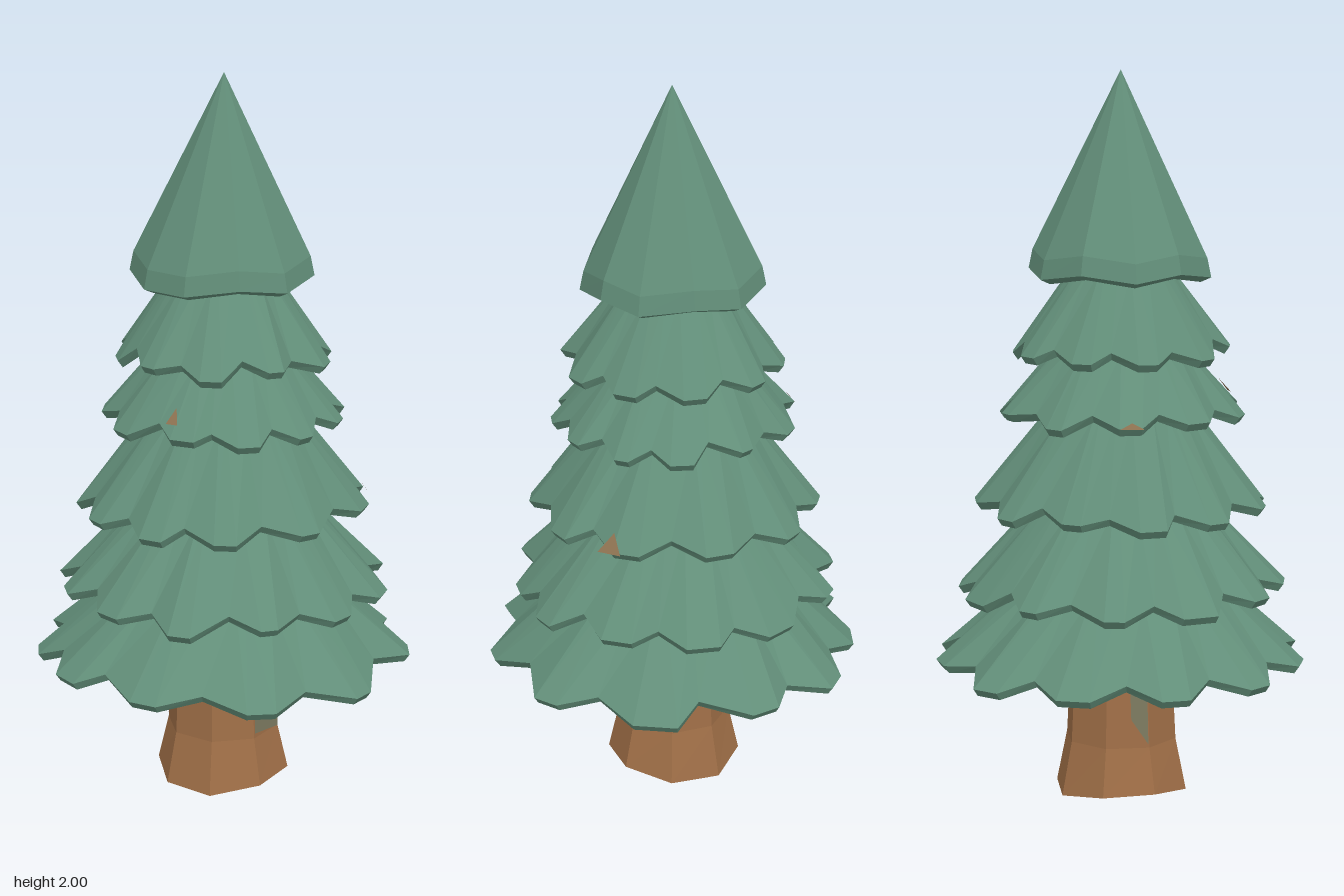
import * as THREE from 'three';

function makeMaterial(name, color) {
  const m = new THREE.MeshStandardMaterial({ color, flatShading: true, side: THREE.DoubleSide });
  m.name = name;
  return m;
}
const foliage = makeMaterial('foliageGreen', 0x628e79);
const bark = makeMaterial('barkBrown', 0xa06f47);
const moss = makeMaterial('mossGrey', 0x7c7a60);
const dryNeedles = makeMaterial('dryNeedleBrown', 0x8c7150);

const rad = THREE.MathUtils.degToRad;
const lerp = THREE.MathUtils.lerp;

// Repeatable noise in -1..1
let seed = 7;
const jitter = () => {
  seed = (seed * 16807) % 2147483647;
  return (seed / 2147483647) * 2 - 1;
};

const polar = (a, r, y) => new THREE.Vector3(Math.sin(a) * r, y, Math.cos(a) * r);

// Joins closed rings of equal point count into one faceted skin
function loft(rings) {
  const pts = [];
  const n = rings[0].length;
  for (let k = 0; k + 1 < rings.length; k++) {
    for (let i = 0; i < n; i++) {
      const j = (i + 1) % n;
      const [a, b, c, d] = [rings[k][i], rings[k][j], rings[k + 1][j], rings[k + 1][i]];
      pts.push(a, b, c, a, c, d);
    }
  }
  const geo = new THREE.BufferGeometry().setFromPoints(pts);
  geo.computeVertexNormals();
  return geo;
}

function add(group, name, geo, material) {
  const mesh = new THREE.Mesh(geo, material);
  mesh.name = name;
  group.add(mesh);
}

// Skirt of branches: hollow beneath, blunt double-pointed lobes along the rim.
// lobes holds the counts on the +x half and on the -x half.
function tierGeometry({ y, R, top, r, lobes: [near, far], turn }) {
  const inner = [], under = [], rim = [], crown = [];
  const angle = (u) => turn + Math.PI * (u < near ? u / near : 1 + (u - near) / far);
  for (let l = 0; l < near + far; l++) {
    const lobeR = R * (1 + 0.018 * jitter());
    const lobeY = y + 0.01 * jitter();
    for (let s = 0; s < 3; s++) {
      const valley = s === 0;
      const a = angle(l + [-0.5, -0.13, 0.17][s] + 0.07 * jitter());
      const rr = valley ? R * (0.885 + 0.015 * jitter()) : lobeR * (1 + 0.015 * jitter());
      const yy = lobeY + (valley ? 0.028 : 0);
      under.push(polar(a, rr - 0.014, yy - 0.012));
      rim.push(polar(a, rr, yy + 0.008));
      // Crown points gather into broad panels
      const ca = angle(l + [-0.5, -0.08, 0.08][s]);
      crown.push(polar(ca, r, top));
      inner.push(polar(ca, r * 0.5, top - 0.03));
    }
  }
  return loft([inner, under, rim, crown]);
}

const tiers = [
  { y: 0.385, R: 0.512, top: 0.61, r: 0.27, lobes: [5, 6], turn: 0 },
  { y: 0.585, R: 0.45, top: 0.84, r: 0.22, lobes: [6, 6], turn: 0.2 },
  { y: 0.815, R: 0.4, top: 1.09, r: 0.195, lobes: [5, 6], turn: 0.45 },
  { y: 1.07, R: 0.335, top: 1.26, r: 0.175, lobes: [6, 5], turn: 0.1 },
  { y: 1.24, R: 0.3, top: 1.47, r: 0.135, lobes: [5, 5], turn: 0.3 },
];

// Pointed top with uneven facets and a short hem
function capGeometry() {
  const rings = [[], [], [], [], []];
  [2, 36, 68, 102, 130, 164, 196, 230, 264, 294, 330].forEach((deg, i) => {
    const a = rad(deg);
    const dip = i % 2 ? 0.02 : 0;
    rings[0].push(new THREE.Vector3(0, 1.47, 0));
    rings[1].push(polar(a, 0.222, 1.435 + dip));
    rings[2].push(polar(a, 0.251, 1.448 + dip));
    rings[3].push(polar(a, 0.24, 1.5 + dip));
    rings[4].push(new THREE.Vector3(0.003, 2, 0));
  });
  return loft(rings);
}

// Eight-sided trunk with a flared, slightly uneven foot
const trunkTurn = rad(-8);
function trunkGeometry() {
  const rings = [[], [], [], []];
  for (let i = 0; i < 8; i++) {
    const a = trunkTurn + ((i + 0.5) / 8) * Math.PI * 2;
    rings[0].push(new THREE.Vector3(0, 0.005, 0));
    rings[1].push(polar(a, 0.187, 0.008 + 0.028 * Math.sin(a) ** 2));
    rings[2].push(polar(a, 0.157, 0.16));
    rings[3].push(polar(a, 0.129, 0.7));
  }
  return loft(rings);
}

// Thin upright plate on one trunk side: foot corners (x0, y0), (x1, y1), head t0..t1
function mossGeometry(side, [x0, y0], [x1, y1], t0, t1) {
  const shape = new THREE.Shape();
  shape.moveTo(x0, y0);
  shape.lineTo(x1, y1);
  shape.lineTo(t1, 0.6);
  shape.lineTo(t0, 0.6);
  const geo = new THREE.ShapeGeometry(shape);
  geo.translate(0, -0.16, 0).rotateX(-0.048).translate(0, 0.16, 0.148);
  return geo.rotateY(trunkTurn + (side * Math.PI) / 4);
}

// Small bare spot lying on a tier's slope; t runs from rim to crown
function spotGeometry(tier, angle, t, halfWidth, height) {
  const at = (da, dt) => polar(
    angle + da,
    lerp(tier.R, tier.r, t + dt) + 0.006,
    lerp(tier.y, tier.top, t + dt) + 0.012,
  );
  const w = halfWidth / tier.R;
  const geo = new THREE.BufferGeometry().setFromPoints([at(-w, 0), at(w, 0), at(0, height)]);
  geo.computeVertexNormals();
  return geo;
}

export function createModel() {
  const tree = new THREE.Group();
  tree.name = 'pineTree';

  add(tree, 'trunk', trunkGeometry(), bark);
  add(tree, 'mossPatchLeft', mossGeometry(2, [-0.058, 0.175], [0.057, 0.16], -0.05, 0.05), moss);
  add(tree, 'mossPatchBack', mossGeometry(3, [-0.015, 0.36], [0.005, 0.3], -0.045, 0.025), moss);
  add(tree, 'mossPatchRight', mossGeometry(6, [0.01, 0.24], [0.057, 0.17], 0.0, 0.05), moss);

  tiers.forEach((t, i) => add(tree, `branchTier${i + 1}`, tierGeometry(t), foliage));
  add(tree, 'treeTop', capGeometry(), foliage);

  add(tree, 'bareSpotBack', spotGeometry(tiers[2], 2.2, 0.01, 0.033, 0.17), dryNeedles);
  add(tree, 'bareSpotFront', spotGeometry(tiers[3], 0, 0.19, 0.018, 0.2), dryNeedles);
  add(tree, 'bareSpotRight', spotGeometry(tiers[3], -1.75, -0.02, 0.032, 0.08), dryNeedles);
  return tree;
}
